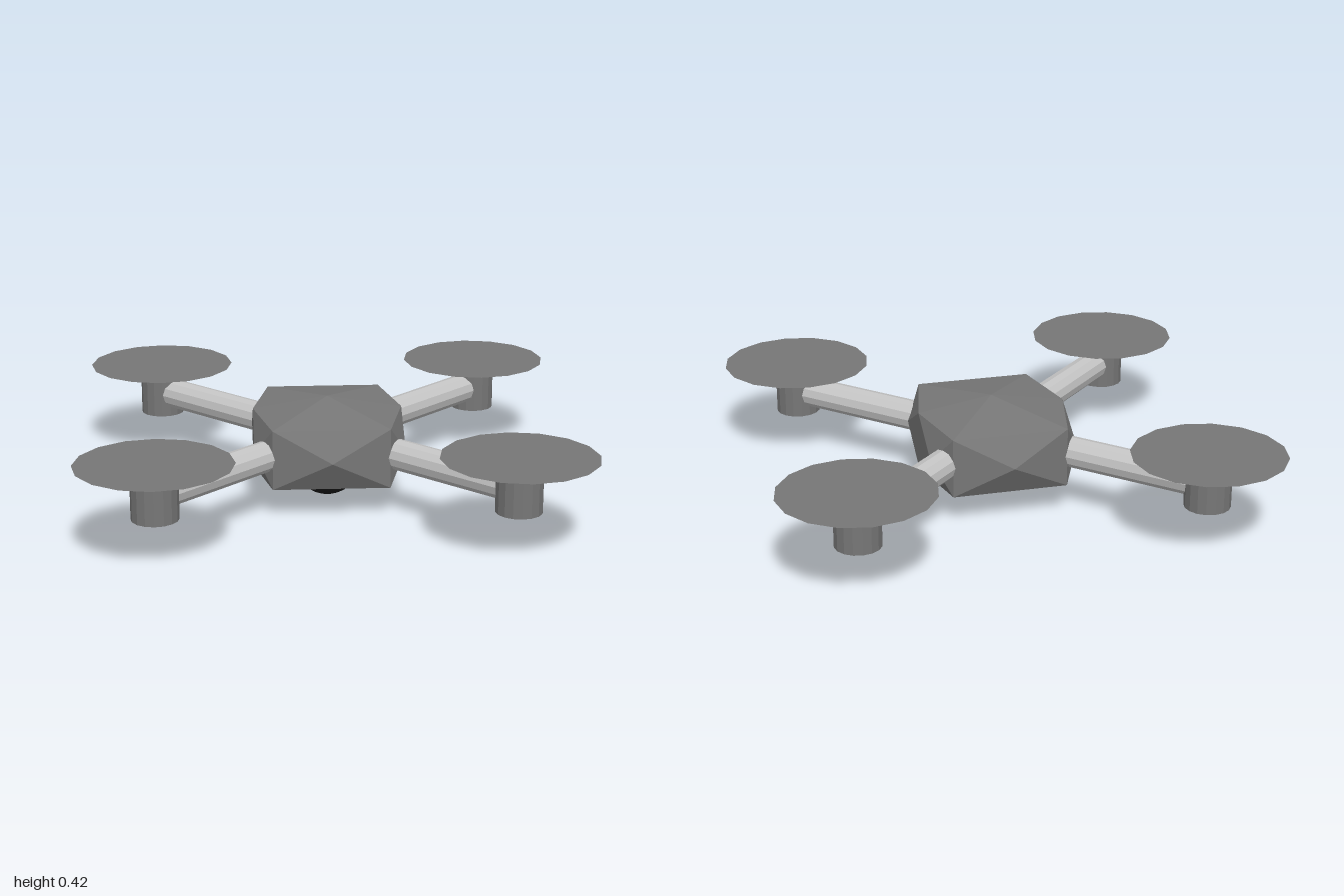
import * as THREE from 'three';
import { ConvexGeometry } from 'three/addons/geometries/ConvexGeometry.js';

function material(name, color, options = {}) {
  const m = new THREE.MeshStandardMaterial({ color, ...options });
  m.name = name;
  return m;
}

function part(name, geometry, mat, x = 0, y = 0, z = 0) {
  const mesh = new THREE.Mesh(geometry, mat);
  mesh.name = name;
  mesh.position.set(x, y, z);
  return mesh;
}

export function createModel() {
  const drone = new THREE.Group();
  drone.name = 'drone';

  const shell = material('shell grey', 0x777777, { flatShading: true });
  const rotorGrey = material('rotor grey', 0x777777, { side: THREE.DoubleSide });
  const metal = material('light metal', 0xc4c4c4, { flatShading: true });
  const dark = material('mount dark grey', 0x444444, { flatShading: true });
  const glass = material('lens black', 0x1c1c1c);

  // Faceted hull: top peak, nose and tail points, bevelled corners
  const points = [new THREE.Vector3(0, 0.42, 0)];
  for (const s of [-1, 1]) {
    points.push(new THREE.Vector3(0, 0.25, s * 0.38));
    for (const y of [0.125, 0.37]) {
      points.push(new THREE.Vector3(s * 0.305, y, 0));
      for (const t of [-1, 1]) points.push(new THREE.Vector3(s * 0.235, y, t * 0.313));
    }
    for (const t of [-1, 1]) points.push(new THREE.Vector3(s * 0.305, 0.25, t * 0.21));
  }
  drone.add(part('body', new ConvexGeometry(points), shell));

  // Camera under the hull
  drone.add(part('cameraMount', new THREE.CylinderGeometry(0.185, 0.185, 0.03, 24), dark, 0, 0.115, 0));
  const dome = new THREE.SphereGeometry(0.14, 24, 10, 0, Math.PI * 2, Math.PI / 2, Math.PI / 2);
  drone.add(part('cameraLens', dome, glass, 0, 0.14, 0));

  // Four diagonal arms with motor, shaft and rotor disc
  const reach = 0.692;
  const inner = 0.15;
  const armLength = (reach - inner) * Math.SQRT2;
  const armGeometry = new THREE.CylinderGeometry(0.063, 0.063, armLength, 12).rotateX(Math.PI / 2);
  const motorGeometry = new THREE.CylinderGeometry(0.0925, 0.0925, 0.185, 16);
  const shaftGeometry = new THREE.CylinderGeometry(0.03, 0.03, 0.04, 10);
  const rotorGeometry = new THREE.CircleGeometry(0.308, 16).rotateX(-Math.PI / 2);

  for (const sx of [-1, 1]) {
    for (const sz of [-1, 1]) {
      const unit = new THREE.Group();
      unit.name = (sz > 0 ? 'front' : 'back') + (sx > 0 ? 'Left' : 'Right') + 'Rotor';
      const mid = (inner + reach) / 2;
      const arm = part('arm', armGeometry, metal, sx * mid, 0.25, sz * mid);
      arm.rotation.y = Math.atan2(sx, sz);
      const x = sx * reach, z = sz * reach;
      unit.add(
        arm,
        part('motor', motorGeometry, shell, x, 0.2475, z),
        part('shaft', shaftGeometry, metal, x, 0.35, z),
        part('rotorDisc', rotorGeometry, rotorGrey, x, 0.372, z)
      );
      drone.add(unit);
    }
  }
  return drone;
}
